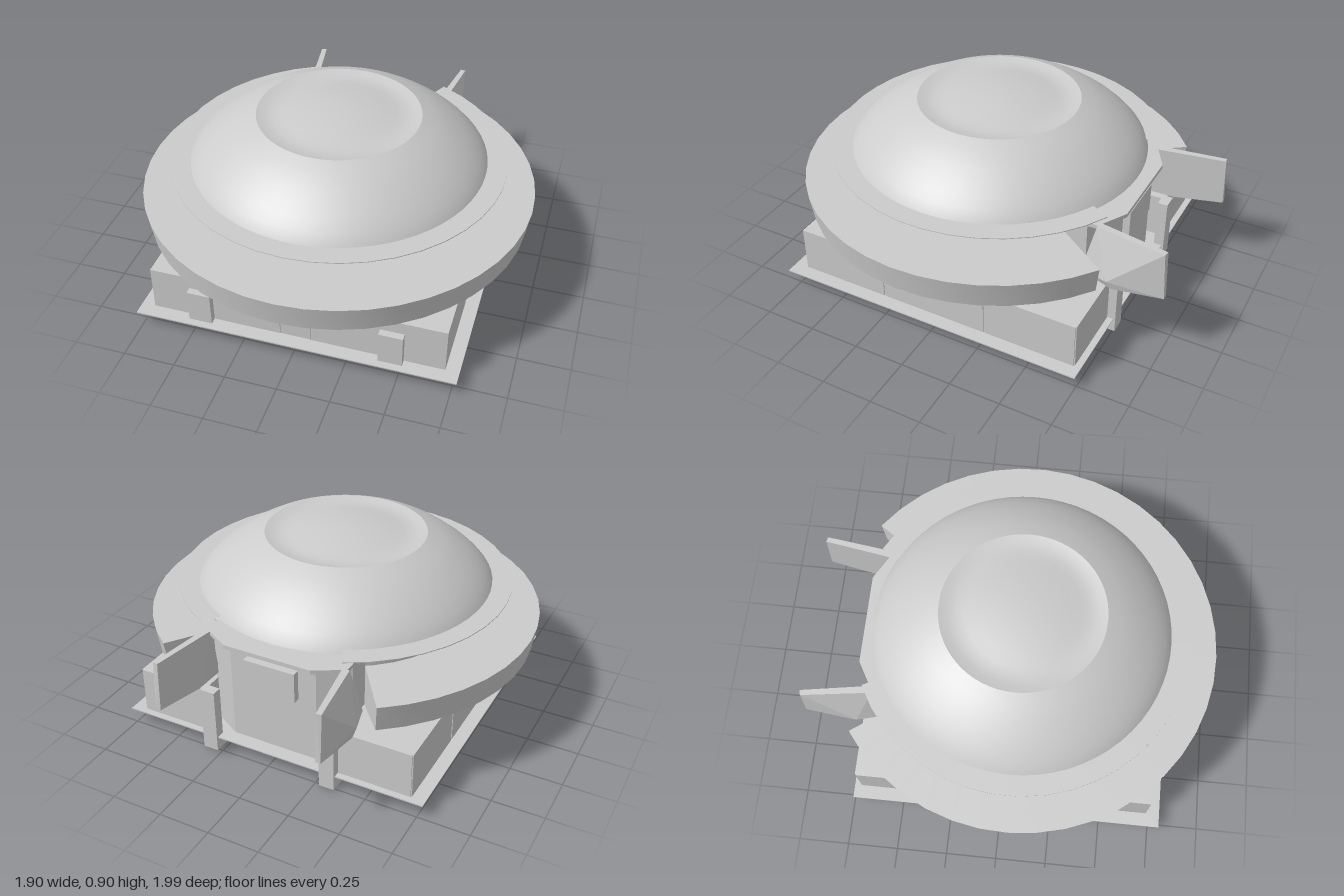
import * as THREE from 'three';
import { toCreasedNormals } from 'three/addons/utils/BufferGeometryUtils.js';
import { ConvexGeometry } from 'three/addons/geometries/ConvexGeometry.js';

const material = new THREE.MeshStandardMaterial({ color: 0xcccccc, side: THREE.DoubleSide });
const AXIS_Z = 0.035; // centre of all the round parts

export function createModel() {
  const model = new THREE.Group();

  const add = (name, geometry, x = 0, y = 0, z = 0) => {
    const mesh = new THREE.Mesh(geometry, material);
    mesh.name = name;
    mesh.position.set(x, y, z);
    model.add(mesh);
    return mesh;
  };

  // Box given by its limits on each axis
  const block = (name, x0, x1, y0, y1, z0, z1) =>
    add(name, new THREE.BoxGeometry(x1 - x0, y1 - y0, z1 - z0),
      (x0 + x1) / 2, (y0 + y1) / 2, (z0 + z1) / 2);

  // Turned part with an optional gap (half angle in degrees) at the back
  const turned = (name, profile, gapDegrees = 0, segments = 36) => {
    const gap = THREE.MathUtils.degToRad(gapDegrees);
    const points = profile.map(([r, y]) => new THREE.Vector2(r, y));
    const lathe = new THREE.LatheGeometry(points, segments, Math.PI + gap, Math.PI * 2 - gap * 2);
    return add(name, toCreasedNormals(lathe, 0.4), 0, 0, AXIS_Z);
  };

  // Base plate and main housing with a bay at the back
  block('basePlate', -0.775, 0.775, 0.066, 0.072, -0.75, 0.8);
  block('housing', -0.705, 0.705, 0.07, 0.3, -0.56, 0.725);
  for (const s of [-1, 1]) {
    const [a, b] = s < 0 ? [-0.705, -0.35] : [0.35, 0.705];
    block('rearHousing', a, b, 0.07, 0.3, -0.72, -0.56);
  }

  // Front panels on both sides of a shallow centre recess
  for (const s of [-1, 1]) {
    block('frontPanel', s * 0.39 - 0.315, s * 0.39 + 0.315, 0.07, 0.3, 0.72, 0.732);
    block('frontBox', s * 0.46 - 0.057, s * 0.46 + 0.057, 0.07, 0.237, 0.73, 0.766);
    // Side panels split by narrow seams
    for (const [z0, z1] of [[-0.715, -0.27], [-0.26, 0.27], [0.28, 0.732]]) {
      block('sidePanel', s * 0.705 - 0.005, s * 0.705 + 0.005, 0.07, 0.3, z0, z1);
    }
  }
  block('centrePanel', -0.072, 0.072, 0.07, 0.24, 0.72, 0.73);

  // Wide rim, open at the back, with its cut ends closed
  const rimProfile = [[0.6, 0.3], [0.65, 0.3], [0.93, 0.38], [0.95, 0.51], [0.6, 0.51]];
  turned('rim', rimProfile, 35);
  const capShape = new THREE.Shape(rimProfile.map(([r, y]) => new THREE.Vector2(r, y)));
  for (const s of [-1, 1]) {
    const cap = add('rimEnd', new THREE.ShapeGeometry(capShape), 0, 0, AXIS_Z);
    cap.rotation.y = Math.PI / 2 + s * THREE.MathUtils.degToRad(35);
  }

  // Stepped neck and thin collar beneath the dome
  turned('neck', [[0.63, 0.5], [0.635, 0.575]], 30);
  turned('neckStep', [[0.6, 0.572], [0.7, 0.572], [0.7, 0.585], [0.685, 0.59],
    [0.685, 0.605], [0.695, 0.61], [0.695, 0.635]], 29);
  turned('collar', [[0.68, 0.646], [0.808, 0.646], [0.808, 0.65], [0.68, 0.65]], 26);

  // Dome with a shallow dish and a raised crown
  turned('dome', [[0.6, 0.635], [0.72, 0.635], [0.705, 0.66], [0.675, 0.695], [0.635, 0.733],
    [0.585, 0.772], [0.525, 0.813], [0.46, 0.85], [0.39, 0.879]], 0, 64);
  turned('crown', [[0.39, 0.879], [0.35, 0.869], [0.31, 0.867], [0.27, 0.872], [0.22, 0.881],
    [0.15, 0.891], [0.08, 0.897], [0, 0.9]], 0, 64);

  // Rear tower with chamfered sides, seen in plan and raised
  const tower = (name, back, y0, y1) => {
    const plan = [[-0.22, back], [0.22, back], [0.36, back + 0.08], [0.36, -0.42],
      [-0.36, -0.42], [-0.36, back + 0.08]];
    const shape = new THREE.Shape(plan.map(([x, z]) => new THREE.Vector2(x, -z)));
    const geometry = new THREE.ExtrudeGeometry(shape, { depth: y1 - y0, bevelEnabled: false });
    geometry.rotateX(-Math.PI / 2);
    add(name, geometry, 0, y0, 0);
  };
  tower('rearTower', -0.68, 0.07, 0.57);
  tower('towerLip', -0.73, 0.57, 0.59);
  block('rearHatch', -0.13, 0.13, 0.38, 0.53, -0.715, -0.67);

  // Tapered fins, posts and feet on each side of the tower
  for (const s of [-1, 1]) {
    const fin = [[0.335, 0.59, -0.65], [0.37, 0.59, -0.65], [0.39, 0.59, -0.99], [0.415, 0.59, -0.985],
      [0.39, 0.35, -1], [0.415, 0.35, -1], [0.45, 0.37, -0.74], [0.44, 0.33, -0.76],
      [0.35, 0.33, -0.76], [0.345, 0.33, -0.6], [0.41, 0.36, -0.6]];
    add('rearFin', new ConvexGeometry(fin.map(([x, y, z]) => new THREE.Vector3(s * x, y, z)))
      .toNonIndexed?.() ?? null);
    block('rearPost', s * 0.31 - 0.038, s * 0.31 + 0.038, 0, 0.325, -0.76, -0.71);
    block('foot', s * 0.31 - 0.038, s * 0.31 + 0.038, 0, 0.07, -0.71, -0.54);
  }

  // Curved rail and slot under the plate
  const rail = new THREE.TorusGeometry(0.29, 0.009, 6, 24, Math.PI);
  rail.rotateX(Math.PI / 2);
  add('underRail', rail, 0, 0.06, -0.55);
  block('underSlot', -0.2, 0.2, 0.06, 0.068, -0.6, -0.52);
  for (const s of [-1, 1]) {
    block('railClip', s * 0.21 - 0.025, s * 0.21 + 0.025, 0.052, 0.068, -0.37, -0.33);
  }
  block('railClip', -0.03, 0.03, 0.052, 0.068, -0.28, -0.25);

  return model;
}
